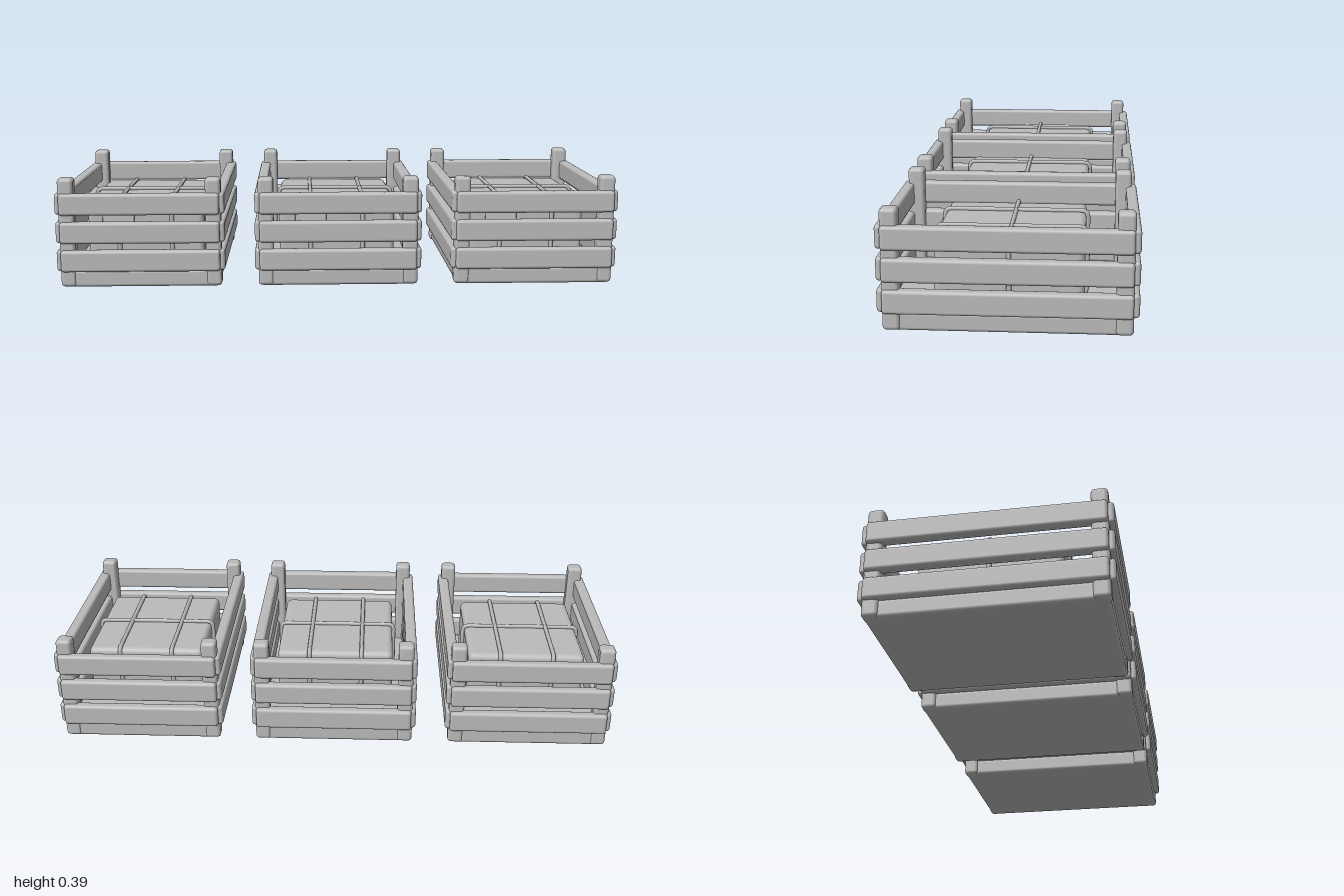
import * as THREE from 'three';
import { RoundedBoxGeometry } from 'three/addons/geometries/RoundedBoxGeometry.js';

const grey = new THREE.MeshStandardMaterial({ color: 0xbbbbbb });
grey.name = 'plainGrey';

// Rounded box given by its size and centre
function block(parent, name, w, h, d, x, y, z, radius = 0.011) {
  const mesh = new THREE.Mesh(new RoundedBoxGeometry(w, h, d, 3, radius), grey);
  mesh.name = name;
  mesh.position.set(x, y, z);
  parent.add(mesh);
  return mesh;
}

// Cord loop in a vertical plane, wrapped round a box of half width a, from y0 to y1
function cordLoop(parent, a, y0, y1, toPoint) {
  const r = 0.02;
  const path = new THREE.CurvePath();
  const corners = [[-a, y0], [a, y0], [a, y1], [-a, y1]];
  const toward = (p, q) => {
    const len = Math.hypot(q[0] - p[0], q[1] - p[1]);
    return [p[0] + (q[0] - p[0]) * r / len, p[1] + (q[1] - p[1]) * r / len];
  };
  corners.forEach((c, i) => {
    const prev = corners[(i + 3) % 4], next = corners[(i + 1) % 4], after = corners[(i + 2) % 4];
    path.add(new THREE.QuadraticBezierCurve3(
      toPoint(...toward(c, prev)), toPoint(...c), toPoint(...toward(c, next))));
    path.add(new THREE.LineCurve3(toPoint(...toward(c, next)), toPoint(...toward(next, c))));
  });
  const mesh = new THREE.Mesh(new THREE.TubeGeometry(path, 120, 0.008, 8, true), grey);
  mesh.name = 'cord';
  parent.add(mesh);
}

function parcel() {
  const g = new THREE.Group();
  g.name = 'parcel';
  const y0 = 0.06, y1 = 0.287;
  block(g, 'parcelBody', 0.424, y1 - y0, 0.47, 0, (y0 + y1) / 2, 0, 0.02);
  // Two cords front to back, one cord side to side
  for (const x of [-0.097, 0.095]) {
    cordLoop(g, 0.239, y0 + 0.01, y1 + 0.004, (u, v) => new THREE.Vector3(x, v, u));
  }
  cordLoop(g, 0.217, y0 + 0.01, y1 + 0.004, (u, v) => new THREE.Vector3(u, v, 0));
  // Hanging tag on the front
  const tag = block(g, 'tag', 0.115, 0.105, 0.006, -0.097, 0.2, 0.251, 0.002);
  tag.rotation.x = -0.06;
  return g;
}

function crate() {
  const g = new THREE.Group();
  g.name = 'crate';
  block(g, 'base', 0.555, 0.062, 0.765, 0, 0.032, 0, 0.012);
  for (const s of [-1, 1]) {
    // Corner posts
    for (const t of [-1, 1]) {
      block(g, 'cornerPost', 0.055, 0.39, 0.055, s * 0.258, 0.198, t * 0.359, 0.013);
    }
    // Three slats on each wall
    for (const y of [0.098, 0.2, 0.302]) {
      block(g, 'sideSlat', 0.04, 0.077, 0.77, s * 0.278, y, 0);
      block(g, 'endSlat', 0.562, 0.077, 0.037, 0, y, s * 0.385);
    }
  }
  g.add(parcel());
  return g;
}

export function createModel() {
  const model = new THREE.Group();
  model.name = 'crateRow';
  for (const x of [-0.702, 0, 0.702]) {
    const c = crate();
    c.position.x = x;
    model.add(c);
  }
  return model;
}
